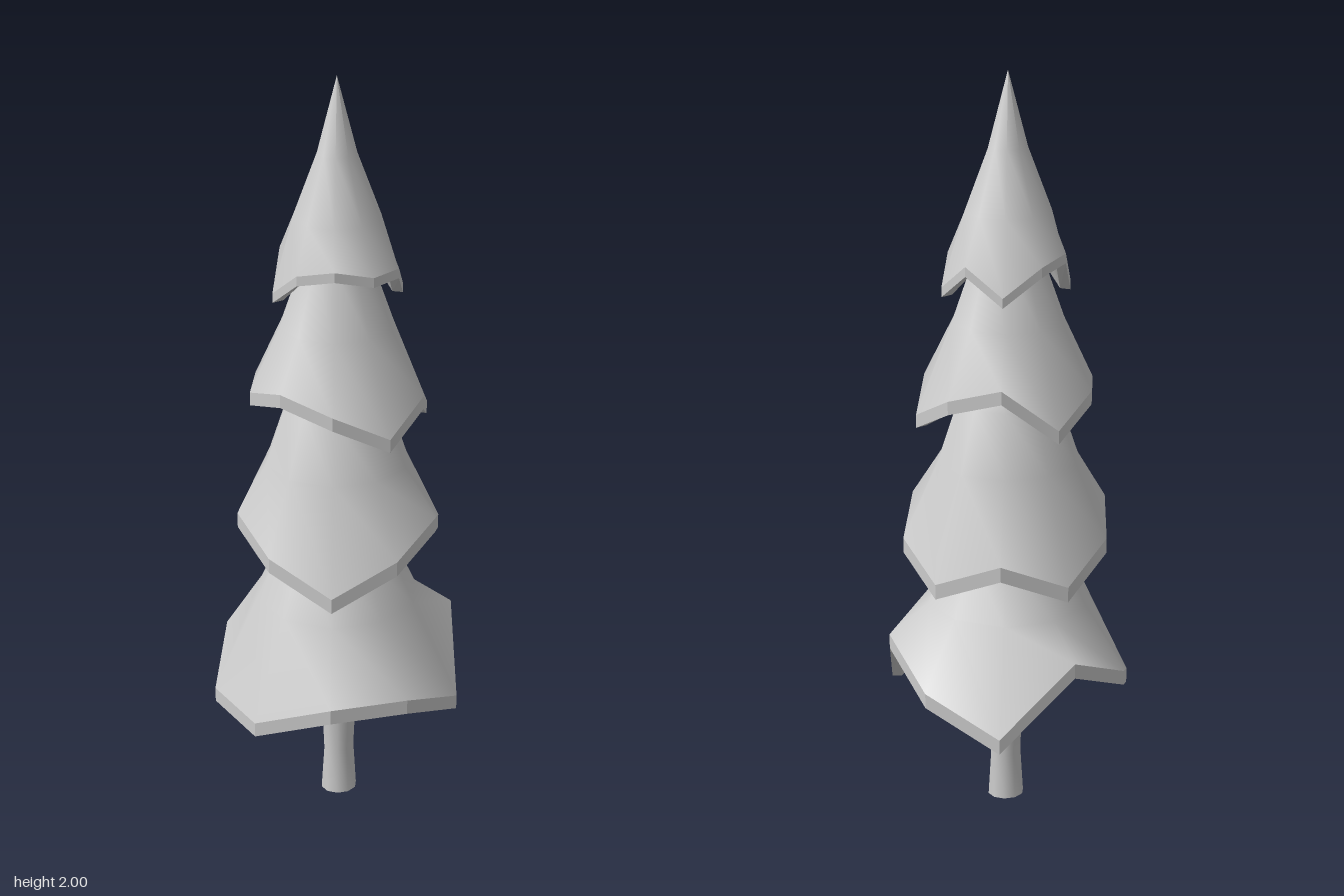
import * as THREE from 'three';
import { mergeGeometries } from 'three/addons/utils/BufferGeometryUtils.js';

const SIDES = 10;
const material = new THREE.MeshStandardMaterial({ color: 0xcccccc, side: THREE.DoubleSide });

// One ring of points; radius and height may vary with the corner index.
function ring(radius, height, cx = 0.005, cz = 0, squash = 1) {
  const pick = (v, i) => (typeof v === 'function' ? v(i) : v);
  return Array.from({ length: SIDES }, (_, i) => {
    const a = (i / SIDES) * Math.PI * 2;
    const r = pick(radius, i);
    return [cx + r * Math.cos(a), pick(height, i), cz + r * squash * Math.sin(a)];
  });
}

// Skin through a list of rings, from top to bottom.
function loft(rings, flat = false) {
  const index = [];
  for (let j = 0; j < rings.length - 1; j++) {
    for (let i = 0; i < SIDES; i++) {
      const n = (i + 1) % SIDES;
      const a = j * SIDES + i, b = j * SIDES + n;
      const c = a + SIDES, d = b + SIDES;
      index.push(a, b, c, b, d, c);
    }
  }
  let g = new THREE.BufferGeometry();
  g.setAttribute('position', new THREE.Float32BufferAttribute(rings.flat(2), 3));
  g.setIndex(index);
  if (flat) g = g.toNonIndexed();
  g.computeVertexNormals();
  return flat ? g : g.toNonIndexed();
}

// Branch tiers: profile is [radius, height] above the rim, rim is the lower edge height per corner.
const tiers = [
  { name: 'bottomBranches', R: 0.345, lip: 0.04, top: [[0, 0.9], [0.08, 0.88], [0.15, 0.76], [0.22, 0.61]],
    inner: [0.1, 0.68], rim: [0.49, 0.31, 0.39, 0.39, 0.31, 0.31, 0.40, 0.49, 0.31, 0.40] },
  { name: 'lowerMiddleBranches', R: 0.289, lip: 0.04, top: [[0, 1.28], [0.07, 1.26], [0.135, 1.16], [0.19, 1.0]],
    inner: [0.09, 1.06], rim: [0.76, 0.83, 0.77, 0.69, 0.77, 0.83, 0.77, 0.69, 0.76, 0.69] },
  { name: 'upperMiddleBranches', R: 0.241, lip: 0.035, top: [[0, 1.66], [0.05, 1.64], [0.088, 1.54], [0.15, 1.37]],
    inner: [0.07, 1.43], rim: [1.10, 1.17, 1.10, 1.17, 1.21, 1.17, 1.17, 1.10, 1.21, 1.17] },
  { name: 'topBranches', R: 0.17, lip: 0.025, top: [[0, 2], [0.052, 1.81], [0.115, 1.65]],
    inner: [0.05, 1.66], rim: [1.44, 1.51, 1.51, 1.53, 1.51, 1.44, 1.53, 1.51, 1.44, 1.51] },
];

function makeTier({ name, R, lip, top, inner, rim }) {
  const low = Math.min(...rim);
  // Raised corners sit slightly further in
  const rimRadius = (i) => R - 0.12 * (rim[i] - low);
  const innerRadius = (i) => rimRadius(i) - 0.028;
  const edgeTop = ring(rimRadius, (i) => rim[i] + lip, 0.009);
  const edgeBottom = ring(rimRadius, (i) => rim[i], 0.009);
  const underEdge = ring(innerRadius, (i) => rim[i] + 0.005, 0.009);
  const geometry = mergeGeometries([
    loft([...top.map(([r, y]) => ring(r, y)), edgeTop]),
    loft([edgeTop, edgeBottom], true),
    loft([edgeBottom, underEdge], true),
    loft([underEdge, ring(...inner), ring(0, inner[1])]),
  ]);
  const mesh = new THREE.Mesh(geometry, material);
  mesh.name = name;
  return mesh;
}

export function createModel() {
  const group = new THREE.Group();
  group.name = 'pineTree';
  tiers.forEach((t) => group.add(makeTier(t)));

  // Trunk with a slight waist, closed at the foot
  const trunkProfile = [[0.05, 0.72], [0.056, 0.4], [0.047, 0.25], [0.042, 0.13], [0.05, 0]];
  const trunkRings = trunkProfile.map(([r, y]) => ring(r, y, 0.005, 0.028, 0.9));
  const foot = loft([trunkRings[trunkRings.length - 1], ring(0, 0, 0.005, 0.028)], true);
  const trunk = new THREE.Mesh(mergeGeometries([loft(trunkRings), foot]), material);
  trunk.name = 'trunk';
  group.add(trunk);
  return group;
}
